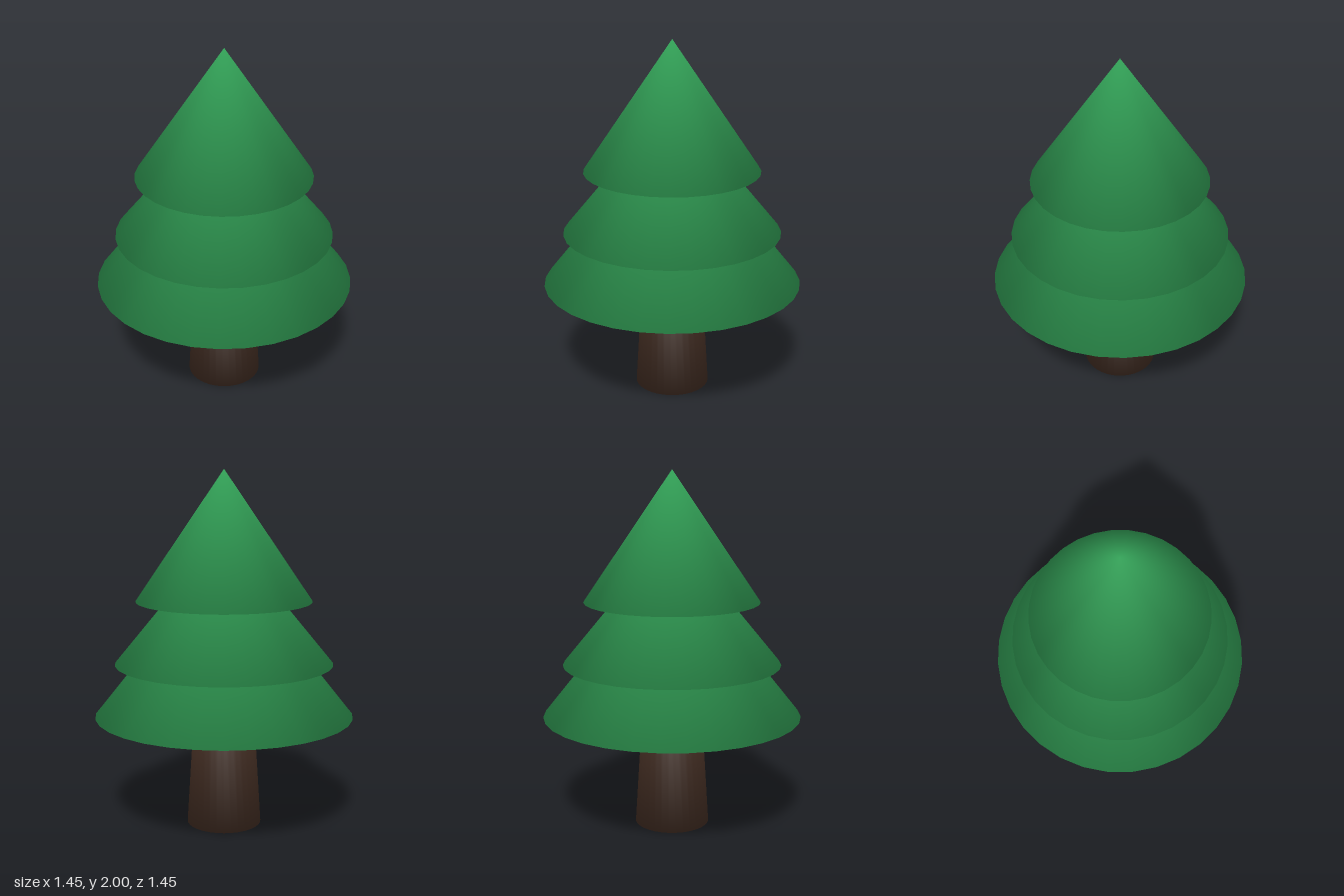
import * as THREE from 'three';

const SIDES = 32;

// Closed cone or tapered log whose smooth shading rolls over its rims.
// Tilts are the up/down lean (radians) of the normals on each rim.
function taperedSolid(bottomR, bottomY, topR, topY, bottomTilt, topTilt) {
  const positions = [], normals = [], index = [];
  const rings = [[bottomR, bottomY, bottomTilt], [topR, topY, topTilt]];
  for (const [r, y, tilt] of rings) {
    for (let i = 0; i < SIDES; i++) {
      const a = (i / SIDES) * Math.PI * 2;
      const s = Math.sin(a), c = Math.cos(a);
      positions.push(r * s, y, r * c);
      normals.push(Math.cos(tilt) * s, Math.sin(tilt), Math.cos(tilt) * c);
    }
  }
  // side wall
  for (let i = 0; i < SIDES; i++) {
    const j = (i + 1) % SIDES;
    index.push(i, j, SIDES + i);
    if (topR > 0) index.push(j, SIDES + j, SIDES + i);
  }
  // flat ends, fanned from the first rim corner
  for (let i = 1; i < SIDES - 1; i++) {
    index.push(0, i + 1, i);
    if (topR > 0) index.push(SIDES, SIDES + i, SIDES + i + 1);
  }
  const geometry = new THREE.BufferGeometry();
  geometry.setAttribute('position', new THREE.Float32BufferAttribute(positions, 3));
  geometry.setAttribute('normal', new THREE.Float32BufferAttribute(normals, 3));
  geometry.setIndex(index);
  return geometry;
}

export function createModel() {
  const tree = new THREE.Group();
  tree.name = 'tree';

  const needleGreen = new THREE.MeshStandardMaterial({ color: 0x33a358 });
  needleGreen.name = 'needle green';
  const barkBrown = new THREE.MeshStandardMaterial({ color: 0x452f24 });
  barkBrown.name = 'bark brown';

  const add = (name, geometry, material) => {
    const mesh = new THREE.Mesh(geometry, material);
    mesh.name = name;
    tree.add(mesh);
  };

  // trunk, running up into the lowest tier
  add('trunk', taperedSolid(0.21, 0, 0.16, 0.8, -0.75, 0.8), barkBrown);

  // three overlapping foliage cones: name, radius, base height, tip height
  const tiers = [
    ['lowerFoliage', 0.725, 0.635, 1.54],
    ['middleFoliage', 0.61, 0.93, 1.67],
    ['topFoliage', 0.49, 1.28, 2],
  ];
  for (const [name, radius, base, tip] of tiers) {
    add(name, taperedSolid(radius, base, 0, tip, -0.45, Math.PI / 2), needleGreen);
  }
  return tree;
}
